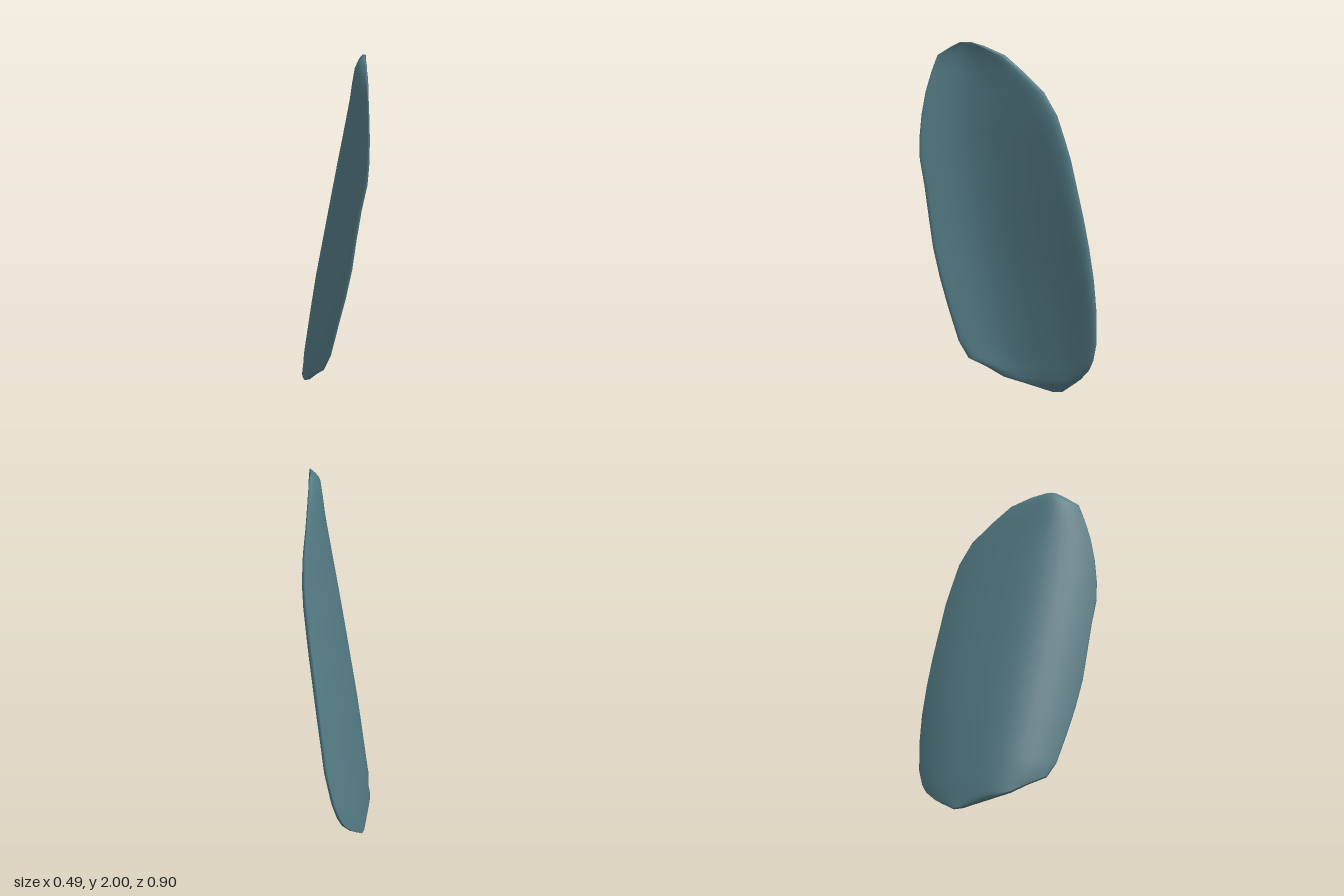
import * as THREE from 'three';

// Height stations: y, back z, front z, x at back edge, x at outer ridge, x at front edge, thickness
const STATIONS = [
  [0.00, -0.22, -0.16, -0.240, -0.243, -0.237, 0.02],
  [0.05, -0.29, 0.00, -0.225, -0.238, -0.212, 0.05],
  [0.08, -0.33, 0.10, -0.215, -0.235, -0.190, 0.057],
  [0.14, -0.385, 0.17, -0.190, -0.230, -0.125, 0.06],
  [0.20, -0.415, 0.26, -0.170, -0.222, -0.060, 0.06],
  [0.30, -0.44, 0.30, -0.145, -0.207, -0.010, 0.06],
  [0.50, -0.45, 0.345, -0.105, -0.175, 0.045, 0.06],
  [0.66, -0.443, 0.375, -0.085, -0.148, 0.090, 0.06],
  [0.84, -0.425, 0.403, -0.058, -0.112, 0.132, 0.06],
  [1.02, -0.40, 0.42, -0.030, -0.076, 0.160, 0.06],
  [1.20, -0.37, 0.435, 0.000, -0.040, 0.192, 0.06],
  [1.35, -0.345, 0.45, 0.025, -0.010, 0.228, 0.055],
  [1.47, -0.316, 0.449, 0.047, 0.015, 0.238, 0.053],
  [1.60, -0.28, 0.437, 0.066, 0.041, 0.239, 0.048],
  [1.73, -0.21, 0.415, 0.083, 0.068, 0.233, 0.038],
  [1.84, -0.10, 0.385, 0.100, 0.089, 0.223, 0.031],
  [1.93, 0.00, 0.355, 0.117, 0.109, 0.210, 0.028],
  [1.98, 0.11, 0.28, 0.140, 0.133, 0.190, 0.024],
  [2.00, 0.17, 0.24, 0.160, 0.153, 0.175, 0.01],
];
const SIDE = 20; // points along each face of a cross-section
const RIDGE = 0.4; // where the outer face bulges most, from back to front

// Closed cross-section: along the outer face to the front, back along the inner face
function section([y, zBack, zFront, xBack, xRidge, xFront, thick]) {
  const ring = [];
  for (let j = 0; j < SIDE * 2; j++) {
    const inner = j > SIDE;
    const s = (inner ? SIDE * 2 - j : j) / SIDE;
    const t = (1 - Math.cos(Math.PI * s)) / 2;
    let x = t < RIDGE
      ? xRidge + (xBack - xRidge) * ((RIDGE - t) / RIDGE) ** 2.8
      : xRidge + (xFront - xRidge) * ((t - RIDGE) / (1 - RIDGE)) ** (inner ? 3.3 : 2.9);
    if (inner) x += thick * Math.sqrt(1 - (2 * t - 1) ** 6);
    ring.push(x, y, zBack + (zFront - zBack) * t);
  }
  return ring;
}

// Skin the cross-sections and close both ends
function loft(stations) {
  const n = SIDE * 2;
  const positions = stations.flatMap(section);
  const index = [];
  for (let i = 0; i < stations.length - 1; i++) {
    for (let j = 0; j < n; j++) {
      const a = i * n + j, b = i * n + (j + 1) % n;
      index.push(a, b, a + n, b, b + n, a + n);
    }
  }
  const top = (stations.length - 1) * n;
  for (let j = 1; j < n - 1; j++) {
    index.push(0, j + 1, j);
    index.push(top, top + j, top + j + 1);
  }
  const geometry = new THREE.BufferGeometry();
  geometry.setAttribute('position', new THREE.Float32BufferAttribute(positions, 3));
  geometry.setIndex(index);
  geometry.computeVertexNormals();
  return geometry;
}

export function createModel() {
  const group = new THREE.Group();
  group.name = 'curvedPlate';
  const plate = new THREE.Mesh(loft(STATIONS), new THREE.MeshStandardMaterial({ color: 0x537a84 }));
  plate.name = 'plateShell';
  group.add(plate);
  return group;
}
